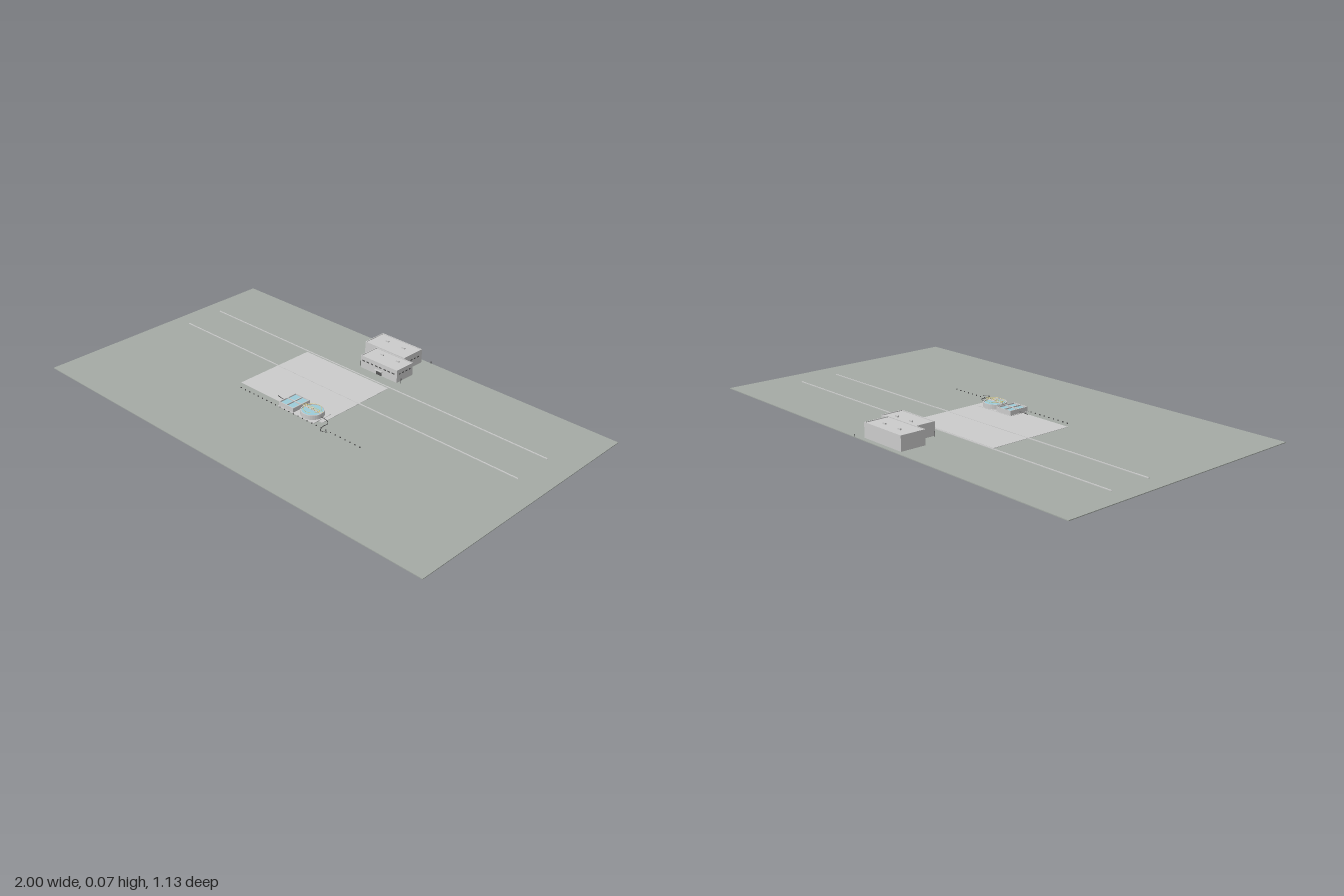
import * as THREE from 'three';

const mat = (color) => new THREE.MeshStandardMaterial({ color });
const GREY = mat(0xcccccc), GROUND = mat(0xa4aaa4), WATER = mat(0x9ccbd8);
const DARK = mat(0x555555), YELLOW = mat(0xd8c878);

function add(parent, name, geometry, material = GREY) {
  const mesh = new THREE.Mesh(geometry, material);
  mesh.name = name;
  parent.add(mesh);
  return mesh;
}

// Box given by its limits on each axis
function block(parent, name, x0, x1, y0, y1, z0, z1, material) {
  const m = add(parent, name, new THREE.BoxGeometry(x1 - x0, y1 - y0, z1 - z0), material);
  m.position.set((x0 + x1) / 2, (y0 + y1) / 2, (z0 + z1) / 2);
  return m;
}

function group(parent, name) {
  const g = new THREE.Group();
  g.name = name;
  parent.add(g);
  return g;
}

function tube(parent, name, points, radius, material) {
  const curve = new THREE.CatmullRomCurve3(points.map((p) => new THREE.Vector3(...p)));
  return add(parent, name, new THREE.TubeGeometry(curve, points.length * 8, radius, 6), material);
}

// Flat-roofed wing with a low parapet
function wing(parent, x0, x1, z0, z1, h) {
  const t = 0.003;
  block(parent, 'walls', x0, x1, 0.003, h - 0.003, z0, z1);
  for (const [a, b] of [[x0, x0 + t], [x1 - t, x1]]) block(parent, 'parapet', a, b, h - 0.003, h, z0, z1);
  for (const [a, b] of [[z0, z0 + t], [z1 - t, z1]]) block(parent, 'parapet', x0 + t, x1 - t, h - 0.003, h, a, b);
}

function building(root) {
  const g = group(root, 'building');
  wing(g, -0.155, 0.063, -0.545, -0.433, 0.064);
  wing(g, -0.09, 0.108, -0.433, -0.335, 0.059);
  // Window bands
  for (let i = 0; i < 9; i++) {
    const z = -0.525 + i * 0.021;
    const x = z < -0.44 ? 0.063 : 0.108;
    block(g, 'window', x, x + 0.0008, 0.036, 0.041, z, z + 0.01, DARK);
  }
  for (let i = 0; i < 8; i++) {
    const x = -0.08 + i * 0.023;
    block(g, 'window', x, x + 0.013, 0.036, 0.041, -0.335, -0.3342, DARK);
  }
  // Entrance and canopy
  block(g, 'door', -0.005, 0.025, 0.003, 0.022, -0.335, -0.334, DARK);
  block(g, 'canopy', -0.01, 0.03, 0.023, 0.025, -0.335, -0.327);
  // Roof vents
  for (const [x, z, h] of [[-0.09, -0.5, 0.067], [0, -0.5, 0.067], [0.055, -0.4, 0.062], [-0.03, -0.4, 0.062]])
    block(g, 'roofVent', x - 0.008, x + 0.008, h - 0.008, h, z - 0.003, z + 0.003);
  // Corner posts and rear post
  for (const [x, z, h] of [[-0.1, -0.345, 0.025], [0.122, -0.345, 0.025], [0.1, -0.563, 0.013]])
    block(g, 'post', x - 0.001, x + 0.001, 0.003, h, z - 0.001, z + 0.001, DARK);
}

function squareTank(root) {
  const g = group(root, 'squareTank');
  const [x0, x1, z0, z1, h, t] = [-0.097, -0.018, 0.038, 0.131, 0.025, 0.003];
  block(g, 'water', x0 + t, x1 - t, 0.003, 0.02, z0 + t, z1 - t, WATER);
  for (const x of [x0, (x0 + x1 - t) / 2, x1 - t]) block(g, 'wall', x, x + t, 0.003, h, z0, z1);
  for (const z of [z0, (z0 + z1 - t) / 2, z1 - t]) block(g, 'wall', x0, x1, 0.003, h, z, z + t);
}

function roundTank(root) {
  const g = group(root, 'roundTank');
  g.position.set(0.042, 0, 0.084);
  const profile = [[0.048, 0.003], [0.048, 0.025], [0.044, 0.025], [0.044, 0.003]];
  const wall = add(g, 'wall', new THREE.LatheGeometry(profile.map((p) => new THREE.Vector2(...p)), 32),
    new THREE.MeshStandardMaterial({ color: 0xcccccc, side: THREE.DoubleSide, flatShading: true }));
  wall.position.y = 0;
  add(g, 'water', new THREE.CylinderGeometry(0.044, 0.044, 0.018, 32), WATER).position.y = 0.012;
  // Bridge with railings and centre drive
  block(g, 'bridge', -0.048, 0.048, 0.025, 0.027, -0.005, 0.005);
  for (const z of [-0.005, 0.005]) {
    block(g, 'handrail', -0.048, 0.048, 0.0325, 0.0335, z - 0.0005, z + 0.0005, YELLOW);
    for (let x = -0.048; x < 0.05; x += 0.016)
      block(g, 'railPost', x - 0.0005, x + 0.0005, 0.027, 0.0325, z - 0.0005, z + 0.0005, YELLOW);
  }
  const ring = add(g, 'guardRing', new THREE.TorusGeometry(0.036, 0.0008, 5, 32), YELLOW);
  ring.rotation.x = Math.PI / 2;
  ring.position.y = 0.03;
  add(g, 'drive', new THREE.CylinderGeometry(0.005, 0.005, 0.008, 12)).position.y = 0.029;
}

export function createModel() {
  const root = new THREE.Group();
  root.name = 'site';

  // Ground, paved yard and two long strips
  block(root, 'ground', -1, 1, 0, 0.003, -0.565, 0.565, GROUND);
  block(root, 'pavedYard', -0.345, 0.115, 0.002, 0.0045, -0.275, 0.105);
  for (const z of [-0.283, -0.102]) block(root, 'strip', -0.92, 0.88, 0.002, 0.006, z - 0.002, z + 0.002);

  building(root);
  block(root, 'tankBase', -0.1, 0.095, 0.002, 0.006, 0.036, 0.134);
  squareTank(root);
  roundTank(root);

  // Feed and outlet pipes
  tube(root, 'feedPipe', [[-0.15, 0.012, 0.085], [-0.12, 0.012, 0.09], [-0.097, 0.012, 0.09]], 0.0015, DARK);
  tube(root, 'linkPipe', [[-0.018, 0.014, 0.085], [-0.01, 0.014, 0.085], [-0.005, 0.014, 0.085]], 0.002, DARK);
  tube(root, 'outletPipe', [[0.088, 0.012, 0.085], [0.125, 0.012, 0.09], [0.143, 0.011, 0.105],
    [0.142, 0.01, 0.13], [0.157, 0.009, 0.157], [0.183, 0.008, 0.145]], 0.0015, DARK);

  // Row of low marker posts
  for (let i = 0; i <= 26; i++) {
    const x = -0.312 + i * 0.025;
    block(root, 'markerPost', x - 0.002, x + 0.002, 0.003, 0.007, 0.134, 0.137, DARK);
  }
  return root;
}
